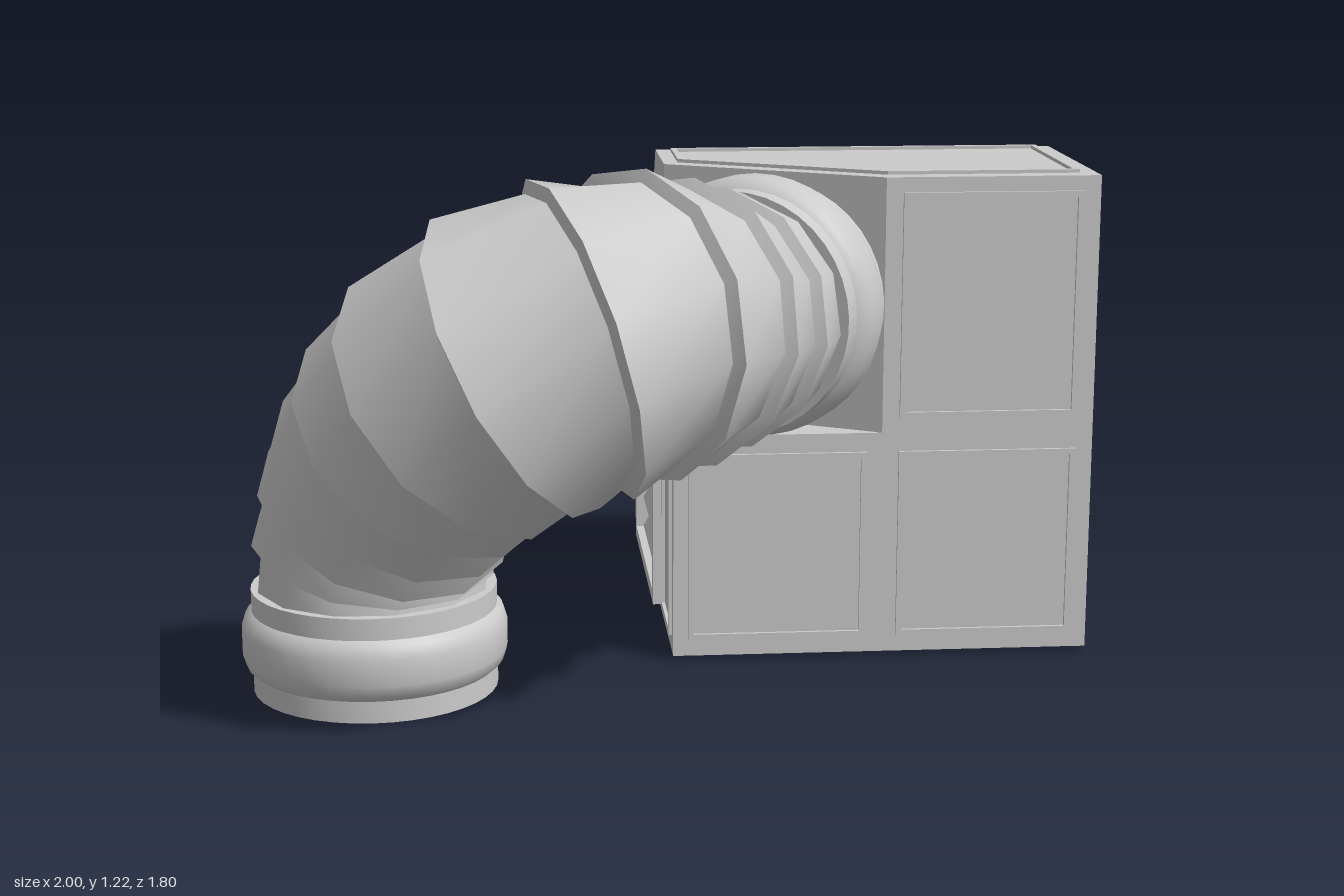
import * as THREE from 'three';
import { toCreasedNormals } from 'three/addons/utils/BufferGeometryUtils.js';

const grey = new THREE.MeshStandardMaterial({ color: 0xcccccc, side: THREE.DoubleSide });
const L = 0, R = 0.99, FRONT = 0.107, BACK = -0.893, MID = 0.545, TOP = 1.145, RIDGE = -0.45;

function add(parent, name, geometry) {
  const mesh = new THREE.Mesh(geometry, grey);
  mesh.name = name;
  parent.add(mesh);
  return mesh;
}

const vectors = (pts) => pts.map(([x, y]) => new THREE.Vector2(x, y));
const rect = (x0, y0, x1, y1) => [[x0, y0], [x1, y0], [x1, y1], [x0, y1]];

// Moves every edge of a counter-clockwise outline inwards by d
function inset(pts, d) {
  const p = vectors(pts), n = p.length;
  return p.map((c, i) => {
    const a = c.clone().sub(p[(i + n - 1) % n]).normalize();
    const b = p[(i + 1) % n].clone().sub(c).normalize();
    const k = d / (1 + a.dot(b));
    return [c.x + k * (-a.y - b.y), c.y + k * (a.x + b.x)];
  });
}

function holed(outline, hole) {
  const shape = new THREE.Shape(vectors(outline));
  shape.holes.push(new THREE.Path(vectors(hole)));
  return shape;
}

// Raised rim following an outline
function rim(parent, name, pts, width = 0.014, depth = 0.008) {
  const shape = holed(pts, inset(pts, width));
  return add(parent, name, new THREE.ExtrudeGeometry(shape, { depth, bevelEnabled: false }));
}

// Wall with a recessed, framed vent of overlapping slats
function louvre(parent, name, wall, [x0, y0, x1, y1], count) {
  const vent = new THREE.Group();
  vent.name = name;
  parent.add(vent);
  const outline = rect(x0, y0, x1, y1);
  add(vent, 'ventWall', new THREE.ShapeGeometry(holed(wall, inset(outline, 0.01))));
  rim(vent, 'ventFrame', outline, 0.03, 0.095).position.z = -0.07;
  const pitch = (y1 - y0 - 0.06) / count, tilt = 0.5;
  for (let i = 0; i < count; i++) {
    const slat = add(vent, 'slat', new THREE.BoxGeometry(x1 - x0 - 0.06, pitch / Math.cos(tilt), 0.008));
    slat.position.set((x0 + x1) / 2, y0 + 0.03 + pitch * (i + 0.5), -0.02);
    slat.rotation.x = -tilt;
  }
}

// Drops the triangles whose corners all pass the test
function openWall(geometry, test) {
  const p = geometry.attributes.position, keep = [];
  const order = geometry.index ? geometry.index.array : [...Array(p.count).keys()];
  for (let i = 0; i < order.length; i += 3) {
    const tri = [order[i], order[i + 1], order[i + 2]];
    if (!tri.every((k) => test(p.getX(k), p.getZ(k)))) keep.push(...tri);
  }
  geometry.setIndex(keep);
  return geometry;
}

// Local x runs right, y up and z out of the face
function face(parent, name, x, y, z, rx, ry) {
  const g = new THREE.Group();
  g.name = name;
  g.position.set(x, y, z);
  g.rotation.set(rx, ry, 0, 'YXZ');
  parent.add(g);
  return g;
}

function buildCabinet() {
  const cabinet = new THREE.Group();
  cabinet.name = 'cabinet';

  // Lower body, open behind the side vent
  const base = new THREE.BoxGeometry(R - L, MID - 0.01, FRONT - BACK);
  base.translate((L + R) / 2, (MID + 0.01) / 2, (FRONT + BACK) / 2);
  add(cabinet, 'cabinetBase', openWall(base, (x) => x < L + 0.001));

  // Upper body: cut front corner, sloping back open behind the vent
  const plan = new THREE.Shape(vectors([[L, 0.17], [0.49, -FRONT], [R, -FRONT], [R, -BACK], [L, -BACK]]));
  const upper = new THREE.ExtrudeGeometry(plan, { depth: TOP - MID, bevelEnabled: false });
  upper.rotateX(-Math.PI / 2).translate(0, MID, 0);
  openWall(upper, (x, z) => z < BACK + 0.001);
  const p = upper.attributes.position;
  for (let i = 0; i < p.count; i++) {
    if (p.getY(i) > 1 && p.getZ(i) < -0.8) p.setZ(i, RIDGE);
  }
  upper.computeVertexNormals();
  add(cabinet, 'cabinetTop', upper);

  const front = face(cabinet, 'frontPanels', 0, 0, FRONT, 0, 0);
  rim(front, 'frontPanel', rect(0.035, 0.05, 0.455, 0.5));
  rim(front, 'frontPanel', rect(0.53, 0.05, 0.95, 0.5));
  rim(front, 'frontPanel', rect(0.53, 0.58, 0.95, 1.11));

  const left = face(cabinet, 'leftPanels', R, 0, 0, 0, Math.PI / 2);
  rim(left, 'leftLowerPanel', rect(-0.065, 0.045, 0.855, 0.5));
  rim(left, 'leftUpperPanel', [[-0.065, 0.575], [0.81, 0.575], [0.43, 1.105], [-0.065, 1.105]]);

  const right = face(cabinet, 'rightPanels', L, 0, 0, 0, -Math.PI / 2);
  louvre(right, 'rightVent', rect(BACK, 0.01, FRONT, MID), [-0.86, 0.04, -0.21, 0.505], 5);
  rim(right, 'rightFrontPanel', rect(-0.16, 0.05, 0.07, 0.5));

  const back = face(cabinet, 'backPanels', 0, 0, BACK, 0, Math.PI);
  rim(back, 'backPanel', rect(-0.95, 0.05, -0.035, 0.5));

  const roof = face(cabinet, 'roofPanels', 0, TOP, 0, -Math.PI / 2, 0);
  rim(roof, 'roofPanel', [[0.035, 0.2], [0.5, -0.06], [0.95, -0.06], [0.95, 0.415], [0.035, 0.415]]);

  const run = RIDGE - BACK, rise = TOP - MID;
  const slope = face(cabinet, 'slopePanels', 0, MID, BACK, -Math.atan2(run, rise), Math.PI);
  louvre(slope, 'slopeVent', rect(-R, 0, -L, Math.hypot(run, rise)), [-0.95, 0.03, -0.03, 0.72], 5);
  return cabinet;
}

// Pipe collar with a rounded bulge
function buildCollar(parent, name) {
  const profile = [[0, 0], [0.28, 0], [0.28, 0.05], [0.294, 0.062], [0.303, 0.09], [0.303, 0.15],
    [0.294, 0.178], [0.28, 0.19], [0.28, 0.24], [0.2, 0.24]];
  return add(parent, name, toCreasedNormals(new THREE.LatheGeometry(vectors(profile), 40), 0.7));
}

// Band of quads between two circles given as { c, t, r }
function band(a, b, sides = 12) {
  const pos = [], index = [], ref = new THREE.Vector3(1, -1, 1);
  for (const { c, t, r } of [a, b]) {
    const u = ref.clone().cross(t).normalize(), v = t.clone().cross(u);
    for (let j = 0; j < sides; j++) {
      const w = (j / sides) * Math.PI * 2;
      const q = c.clone().addScaledVector(u, r * Math.cos(w)).addScaledVector(v, r * Math.sin(w));
      pos.push(q.x, q.y, q.z);
    }
  }
  for (let j = 0; j < sides; j++) {
    const k = (j + 1) % sides;
    index.push(j, k, j + sides, k, k + sides, j + sides);
  }
  const g = new THREE.BufferGeometry();
  g.setAttribute('position', new THREE.Float32BufferAttribute(pos, 3));
  g.setIndex(index);
  g.computeVertexNormals();
  return g;
}

function buildHose() {
  const hose = new THREE.Group();
  hose.name = 'flexibleHose';
  // Ring joints: x, y, z, radius
  const joints = [
    [0.15, 0.845, 0.13, 0.28], [0.065, 0.85, 0.26, 0.292], [-0.025, 0.865, 0.385, 0.315],
    [-0.115, 0.88, 0.485, 0.335], [-0.24, 0.865, 0.55, 0.348], [-0.375, 0.81, 0.55, 0.348],
    [-0.49, 0.72, 0.475, 0.333], [-0.57, 0.62, 0.4, 0.313], [-0.625, 0.525, 0.33, 0.297],
    [-0.665, 0.43, 0.27, 0.284], [-0.69, 0.33, 0.225, 0.274], [-0.695, 0.2, 0.21, 0.262],
  ];
  const n = joints.length;
  const c = joints.map(([x, y, z]) => new THREE.Vector3(x, y, z));
  const t = c.map((_, i) => c[Math.min(i + 1, n - 1)].clone().sub(c[Math.max(i - 1, 0)]).normalize());
  // Every ring starts tucked in and flares towards the floor end
  const circle = (i, scale, shift) => ({
    c: c[i].clone().addScaledVector(t[i], shift), t: t[i], r: joints[i][3] * scale,
  });
  const lip = (i) => circle(i, 1.03, -0.006), tuck = (i) => circle(i, 0.945, 0.006);
  for (let i = 0; i < n - 1; i++) {
    add(hose, 'hoseRing', band(tuck(i), lip(i + 1)));
    if (i < n - 2) add(hose, 'ringLip', band(lip(i + 1), tuck(i + 1)));
  }
  return hose;
}

export function createModel() {
  const model = new THREE.Group();
  model.name = 'ventUnit';
  model.add(buildCabinet(), buildHose());

  buildCollar(model, 'floorCollar').position.set(-0.695, 0, 0.21);

  const outlet = buildCollar(model, 'cabinetCollar');
  const normal = new THREE.Vector3(-0.277, 0, 0.49).normalize();
  outlet.position.set(0.245, 0.845, -0.03).addScaledVector(normal, -0.015);
  outlet.quaternion.setFromUnitVectors(new THREE.Vector3(0, 1, 0), normal);
  return model;
}
